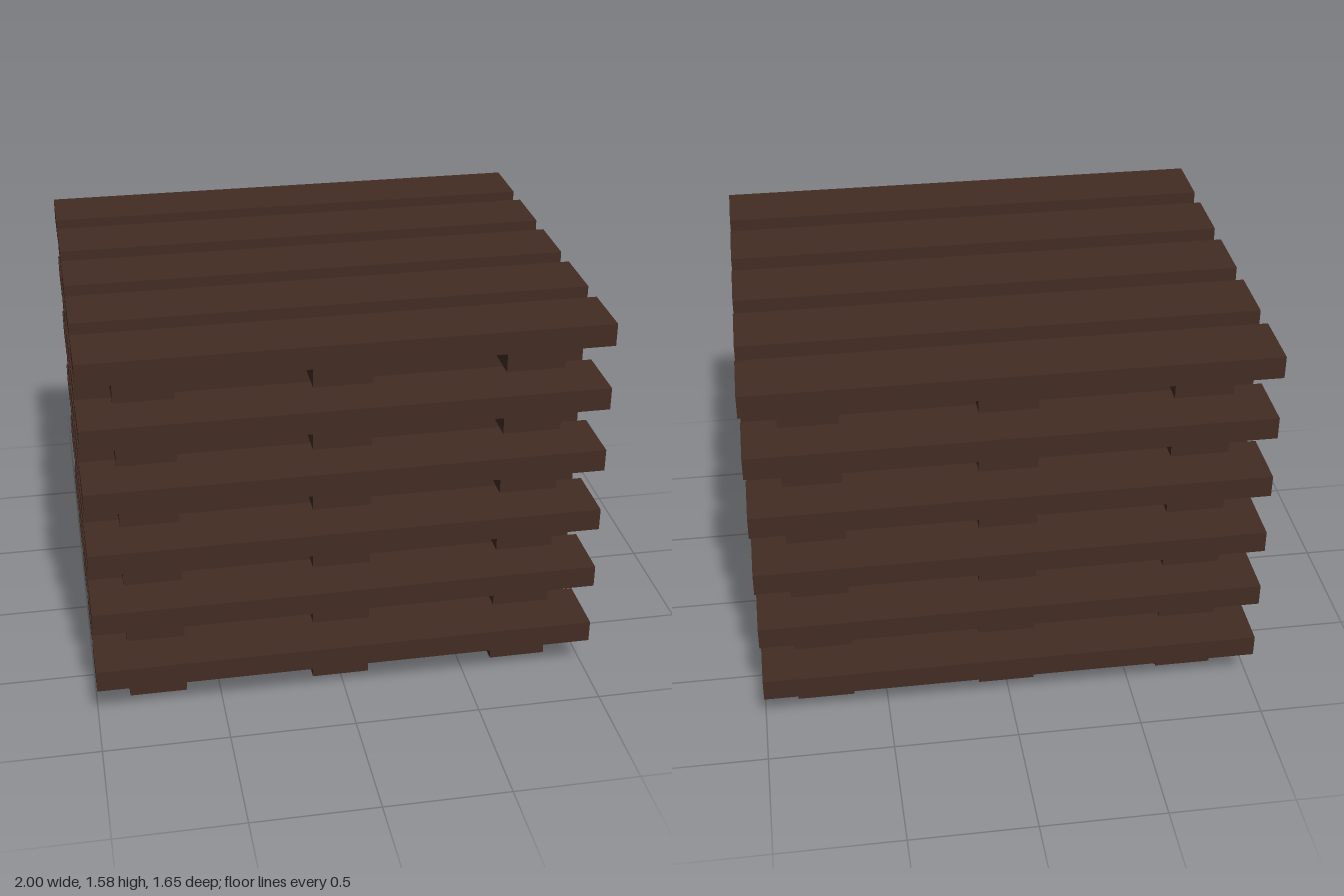
import * as THREE from 'three';

const LAYERS = 6, PITCH = 0.2665;
const BEAM = { w: 0.23, h: 0.151, d: 1.334 };
const BOARD = { w: 2, h: 0.09, d: 0.25 };
const BOARD_BOTTOM = 0.157;

export function createModel() {
  const model = new THREE.Group();
  model.name = 'palletStack';
  const wood = new THREE.MeshStandardMaterial({ color: 0x432d24 });
  wood.name = 'dark brown wood';

  const beamGeometry = new THREE.BoxGeometry(BEAM.w, BEAM.h, BEAM.d);
  const boardGeometry = new THREE.BoxGeometry(BOARD.w, BOARD.h, BOARD.d);

  const add = (parent, geometry, name, x, y, z) => {
    const mesh = new THREE.Mesh(geometry, wood);
    mesh.name = name;
    mesh.position.set(x, y, z);
    parent.add(mesh);
  };

  for (let i = 0; i < LAYERS; i++) {
    const pallet = new THREE.Group();
    pallet.name = `pallet${i + 1}`;
    pallet.position.y = i * PITCH;
    // three beams running front to back
    for (const s of [-1, 0, 1]) add(pallet, beamGeometry, 'beam', s * 0.75, BEAM.h / 2, 0);
    // five deck boards running side to side
    for (let b = -2; b <= 2; b++) {
      add(pallet, boardGeometry, 'deckBoard', 0, BOARD_BOTTOM + BOARD.h / 2, b * 0.351);
    }
    model.add(pallet);
  }
  return model;
}
